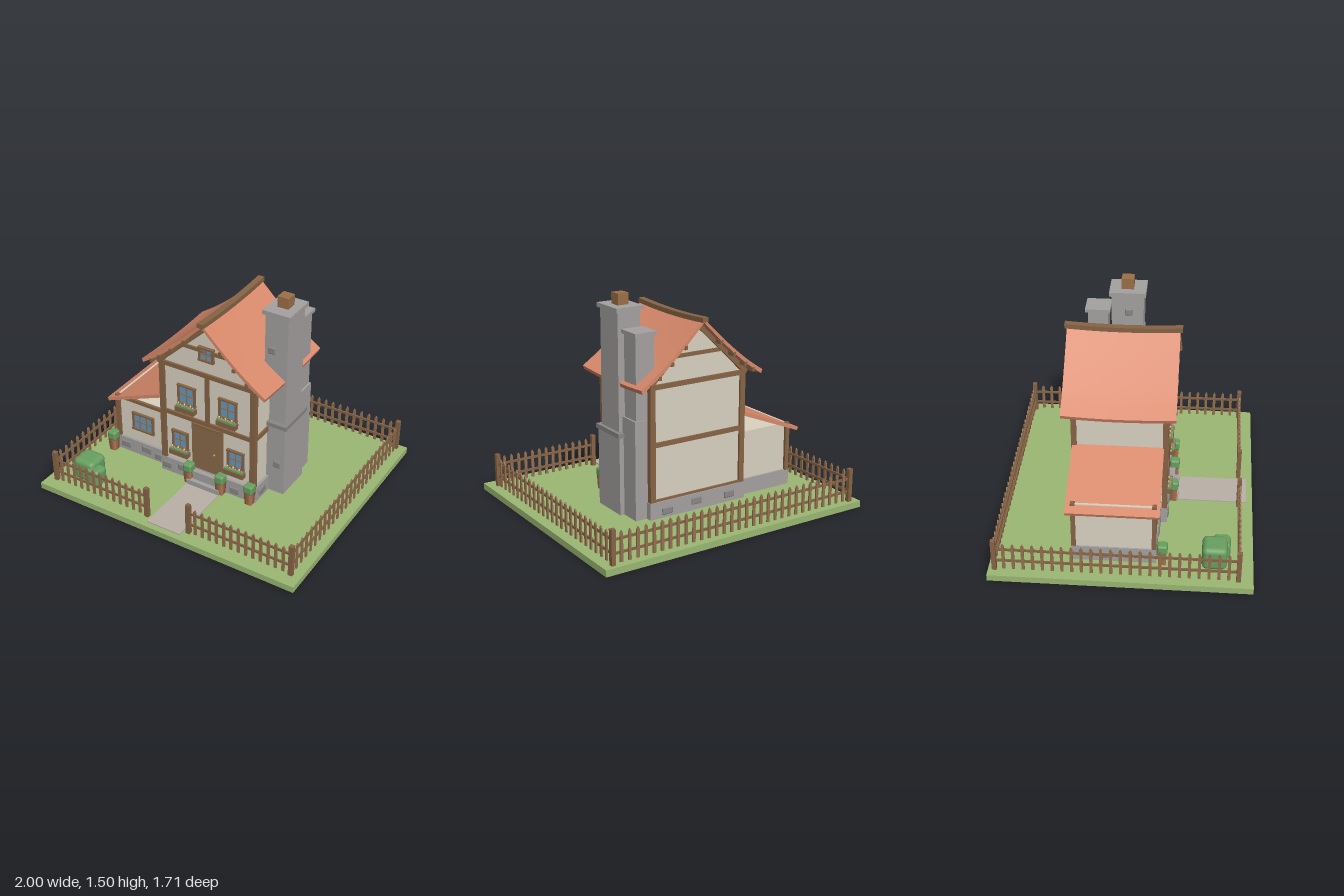
import * as THREE from 'three';
import { toCreasedNormals } from 'three/addons/utils/BufferGeometryUtils.js';
import { RoundedBoxGeometry } from 'three/addons/geometries/RoundedBoxGeometry.js';

const mat = (color) => new THREE.MeshStandardMaterial({ color });
const M = {
  grass: mat(0x9bb873), wall: mat(0xdad3c2), timber: mat(0x876445), roof: mat(0xd98a6c),
  stone: mat(0xa5a2a0), darkStone: mat(0x8a8886), path: mat(0xbab0a8), glass: mat(0x659cc4),
  bar: mat(0x9c7048), door: mat(0x8b6a4a), pot: mat(0xb87a55), leaf: mat(0x68a060),
  picket: mat(0x94704f), pink: mat(0xd0708a), yellow: mat(0xe0c060), knob: mat(0xc0a060),
};

export function createModel() {
  const root = new THREE.Group();
  const group = (name, parent = root) => {
    const g = new THREE.Group();
    g.name = name;
    parent.add(g);
    return g;
  };
  const add = (parent, name, geo, m) => {
    const mesh = new THREE.Mesh(geo, m);
    mesh.name = name;
    parent.add(mesh);
    return mesh;
  };
  // Box given by its lower and upper limits on each axis
  const box = (parent, name, m, x0, x1, y0, y1, z0, z1) => {
    const b = add(parent, name, new THREE.BoxGeometry(x1 - x0, y1 - y0, z1 - z0), m);
    b.position.set((x0 + x1) / 2, (y0 + y1) / 2, (z0 + z1) / 2);
    return b;
  };
  // Square timber between two points at the same depth
  const strut = (parent, name, x0, y0, x1, y1, z, t, d) => {
    const dx = x1 - x0, dy = y1 - y0;
    const b = add(parent, name, new THREE.BoxGeometry(Math.hypot(dx, dy), t, d), M.timber);
    b.position.set((x0 + x1) / 2, (y0 + y1) / 2, z);
    b.rotation.z = Math.atan2(dy, dx);
    return b;
  };
  const bush = (parent, x, y, z, w, h, d, r) => {
    add(parent, 'bush', new RoundedBoxGeometry(w, h, d, 3, r), M.leaf).position.set(x, y, z);
  };

  // Garden
  box(root, 'ground', M.grass, -1, 1, 0, 0.045, -0.857, 0.857);
  box(root, 'path', M.path, -0.13, 0.13, 0.04, 0.053, 0.26, 0.815);
  const garden = group('gardenBushes');
  bush(garden, -0.76, 0.125, 0.603, 0.17, 0.17, 0.165, 0.035);
  bush(garden, -0.678, 0.11, 0.648, 0.125, 0.13, 0.115, 0.03);

  // Main house walls and base
  const house = group('house');
  box(house, 'foundation', M.stone, -0.38, 0.38, 0.045, 0.16, -0.37, 0.275);
  box(house, 'walls', M.wall, -0.36, 0.36, 0.16, 0.94, -0.35, 0.255);
  const gable = new THREE.Shape([[-0.355, 0.93], [0.355, 0.93], [0, 1.3]].map(([x, y]) => new THREE.Vector2(x, y)));
  add(house, 'gableWall', new THREE.ExtrudeGeometry(gable, { depth: 0.605, bevelEnabled: false }), M.wall).position.z = -0.35;

  // Timber frame
  const frame = group('timberFrame', house);
  for (const s of [-1, 1]) {
    for (const z of [0.255, -0.347]) {
      box(frame, 'cornerPost', M.timber, s * 0.355 - 0.02, s * 0.355 + 0.02, 0.155, 0.95, z - 0.018, z + 0.018);
      strut(frame, 'gableRafter', s * 0.385, 0.935, 0, 1.3, z, 0.035, 0.035);
    }
    for (const y of [0.55, 0.935])
      box(frame, 'sideBeam', M.timber, s * 0.36 - 0.01, s * 0.36 + 0.01, y - 0.018, y + 0.018, -0.34, 0.25);
  }
  for (const z of [0.255, -0.35]) {
    box(frame, 'middleBeam', M.timber, -0.36, 0.36, 0.533, 0.565, z - 0.013, z + 0.013);
    box(frame, 'topBeam', M.timber, -0.375, 0.375, 0.92, 0.952, z - 0.015, z + 0.015);
    box(frame, 'collarBeam', M.timber, -0.18, 0.18, 1.105, 1.13, z - 0.012, z + 0.012);
  }
  box(frame, 'upperPost', M.timber, -0.016, 0.016, 0.56, 0.925, 0.25, 0.267);
  box(frame, 'backSill', M.timber, -0.36, 0.36, 0.155, 0.175, -0.362, -0.34);

  // Curved, slightly sagging main roof
  const roof = group('mainRoof');
  const profile = [[0, 1.325], [0.12, 1.205], [0.24, 1.095], [0.35, 1.005], [0.465, 0.925]];
  const half = new THREE.CatmullRomCurve3(profile.map(([x, y]) => new THREE.Vector3(x, y, 0))).getPoints(14);
  const under = [...half].reverse().map((p) => new THREE.Vector2(-p.x, p.y)).concat(half.slice(1).map((p) => new THREE.Vector2(p.x, p.y)));
  const over = under.map((p) => new THREE.Vector2(p.x * 1.02, p.y + 0.026)).reverse();
  const sag = (geo) => {
    const p = geo.attributes.position;
    for (let i = 0; i < p.count; i++) p.setY(i, p.getY(i) - 0.013 * (1 - (p.getZ(i) / 0.37) ** 2));
    return toCreasedNormals(geo, 0.5);
  };
  const slab = new THREE.ExtrudeGeometry(new THREE.Shape([...under, ...over]), { depth: 0.74, steps: 8, bevelEnabled: false });
  add(roof, 'roofTiles', sag(slab.translate(0, 0, -0.37)), M.roof).position.z = -0.047;
  const ridge = new THREE.BoxGeometry(0.045, 0.032, 0.77, 1, 1, 8).translate(0, 1.345, 0);
  add(roof, 'ridgeBeam', sag(ridge), M.timber).position.z = -0.047;
  for (const s of [-1, 1])
    for (const i of [4, 7, 10, 12]) {
      const p = half[i];
      box(roof, 'purlin', M.timber, s * p.x - 0.011, s * p.x + 0.011, p.y - 0.022, p.y + 0.004, -0.421, 0.327);
    }

  // Windows with crossbars, placed by centre on a front wall
  const windowAt = (parent, x, y, w, h, z, cols) => {
    const g = group('window', parent);
    g.position.set(x, y, z);
    const a = w / 2, b = h / 2, t = 0.014;
    box(g, 'glass', M.glass, -a, a, -b, b, -0.01, 0.005);
    for (const s of [-1, 1]) {
      box(g, 'frameSide', M.timber, s * a - t / 2, s * a + t / 2, -b, b, -0.01, 0.016);
      box(g, 'frameRail', M.timber, -a - 0.01, a + 0.01, s * b - t / 2, s * b + t / 2, -0.01, 0.018);
    }
    for (let i = 1; i < cols; i++) {
      const c = -a + (w * i) / cols;
      box(g, 'crossbar', M.bar, c - 0.004, c + 0.004, -b, b, 0, 0.01);
    }
    box(g, 'crossbar', M.bar, -a, a, -0.004, 0.004, 0, 0.01);
  };
  const flowerBox = (x, y) => {
    const g = group('flowerBox', house);
    g.position.set(x, y, 0.278);
    box(g, 'trough', M.timber, -0.075, 0.075, -0.025, 0.012, -0.022, 0.022);
    box(g, 'leaves', M.leaf, -0.07, 0.07, 0.008, 0.025, -0.019, 0.019);
    for (let i = 0; i < 6; i++)
      add(g, 'flower', new THREE.IcosahedronGeometry(0.009, 0), i % 2 ? M.pink : M.yellow)
        .position.set(-0.06 + i * 0.024, 0.03, i % 2 ? 0.008 : -0.004);
  };
  for (const s of [-1, 1]) {
    windowAt(house, s * 0.162, 0.727, 0.125, 0.14, 0.257, 2);
    flowerBox(s * 0.162, 0.628);
    windowAt(house, s * 0.222, 0.343, 0.115, 0.13, 0.257, 2);
    flowerBox(s * 0.222, 0.25);
  }
  windowAt(house, 0, 1.1, 0.1, 0.09, 0.262, 2);

  // Door and steps
  const entry = group('entrance', house);
  box(entry, 'door', M.door, -0.122, 0.122, 0.155, 0.535, 0.25, 0.27);
  box(entry, 'lintel', M.timber, -0.105, 0.105, 0.518, 0.535, 0.26, 0.28);
  add(entry, 'doorKnob', new THREE.SphereGeometry(0.008, 10, 8), M.knob).position.set(0.06, 0.325, 0.276);
  box(entry, 'lowerStep', M.stone, -0.13, 0.13, 0.045, 0.09, 0.26, 0.34);
  box(entry, 'upperStep', M.stone, -0.095, 0.095, 0.045, 0.155, 0.26, 0.31);

  // Lean-to with an overhanging slanted roof
  const annex = group('leanTo');
  box(annex, 'foundation', M.stone, -0.8, -0.36, 0.045, 0.155, -0.325, 0.225);
  box(annex, 'walls', M.wall, -0.79, -0.36, 0.155, 0.495, -0.31, 0.205);
  for (const z of [-0.313, 0.21])
    box(annex, 'post', M.timber, -0.798, -0.765, 0.15, 0.5, z - 0.015, z + 0.015);
  box(annex, 'frontBeam', M.timber, -0.79, -0.36, 0.475, 0.5, 0.2, 0.22);
  windowAt(annex, -0.57, 0.322, 0.165, 0.13, 0.207, 3);
  const annexRoof = add(annex, 'leanToRoof', new THREE.BoxGeometry(0.52, 0.025, 0.605), M.roof);
  annexRoof.position.set(-0.603, 0.55, -0.057);
  annexRoof.rotation.z = Math.atan2(0.19, 0.475);

  // Two stepped chimneys on the right wall
  const chimney = group('chimneys');
  box(chimney, 'mainBase', M.stone, 0.3, 0.497, 0.045, 0.585, -0.183, 0.087);
  box(chimney, 'mainLedge', M.darkStone, 0.3, 0.508, 0.58, 0.61, -0.193, 0.098);
  box(chimney, 'mainStack', M.stone, 0.317, 0.483, 0.6, 1.405, -0.155, 0.062);
  box(chimney, 'mainCap', M.stone, 0.3, 0.5, 1.4, 1.43, -0.17, 0.077);
  box(chimney, 'chimneyPot', M.bar, 0.36, 0.44, 1.42, 1.505, -0.09, -0.008);
  box(chimney, 'smallBase', M.stone, 0.3, 0.465, 0.045, 0.72, -0.325, -0.17);
  box(chimney, 'smallStack', M.stone, 0.315, 0.452, 0.7, 1.275, -0.317, -0.18);
  box(chimney, 'smallCap', M.stone, 0.303, 0.465, 1.27, 1.295, -0.335, -0.165);

  // Protruding stones: centre x, y, z and width along x, z
  const stones = group('loose stones');
  const stone = (x, y, z, w, d) => add(stones, 'wallStone', new RoundedBoxGeometry(w, 0.05, d, 1, 0.008), M.darkStone).position.set(x, y, z);
  stone(0.368, 1.145, 0.062, 0.055, 0.02);
  stone(0.317, 1.28, -0.04, 0.02, 0.05);
  stone(0.44, 0.28, 0.087, 0.055, 0.02);
  for (const [x, y] of [[-0.33, 0.1], [-0.2, 0.12], [0.22, 0.09]]) stone(x, y, 0.275, 0.075, 0.02);
  for (const [x, y] of [[-0.72, 0.1], [-0.54, 0.11], [-0.43, 0.09]]) stone(x, y, 0.225, 0.08, 0.02);
  for (const [x, y] of [[-0.25, 0.1], [0.02, 0.11], [0.25, 0.09]]) stone(x, y, -0.37, 0.08, 0.02);
  stone(-0.8, 0.1, -0.1, 0.02, 0.08);
  stone(0.38, 0.1, 0.18, 0.02, 0.08);

  // Potted shrubs
  for (const [x, z] of [[-0.128, 0.305], [0.128, 0.305], [0.353, 0.295], [-0.8, 0.265]]) {
    const g = group('pottedShrub');
    const pot = add(g, 'pot', new THREE.CylinderGeometry(0.041, 0.034, 0.095, 4, 1), M.pot);
    pot.rotation.y = Math.PI / 4;
    pot.position.set(x, 0.098, z);
    bush(g, x, 0.175, z, 0.068, 0.068, 0.068, 0.015);
  }

  // Picket fence: runs between posts, with a gap for the path
  const fence = group('fence');
  const picket = new THREE.ExtrudeGeometry(new THREE.Shape([[-0.01, 0.055], [0.01, 0.055], [0.01, 0.24], [0, 0.258], [-0.01, 0.24]]
    .map(([x, y]) => new THREE.Vector2(x, y))), { depth: 0.01, bevelEnabled: false }).translate(0, 0, -0.005);
  const run = (x0, z0, x1, z1, n) => {
    const len = Math.hypot(x1 - x0, z1 - z0);
    const g = group('fenceRun', fence);
    g.position.set(x0, 0, z0);
    g.rotation.y = -Math.atan2(z1 - z0, x1 - x0);
    for (const y of [0.115, 0.205]) box(g, 'rail', M.timber, 0, len, y - 0.008, y + 0.008, -0.009, 0.001);
    for (let i = 1; i < n; i++) add(g, 'picket', picket, M.picket).position.set((len * i) / n, 0, 0.005);
  };
  const zf = 0.76, zb = -0.815, xs = 0.93, gate = 0.165;
  run(-xs, zf, -gate, zf, 14);
  run(gate, zf, xs, zf, 14);
  run(xs, zf, xs, zb, 25);
  run(xs, zb, -xs, zb, 32);
  run(-xs, zb, -xs, zf, 25);
  for (const [x, z] of [[-xs, zf], [xs, zf], [-xs, zb], [xs, zb], [-gate, zf], [gate, zf]])
    box(fence, 'fencePost', M.timber, x - 0.015, x + 0.015, 0.045, 0.278, z - 0.015, z + 0.015);

  return root;
}
